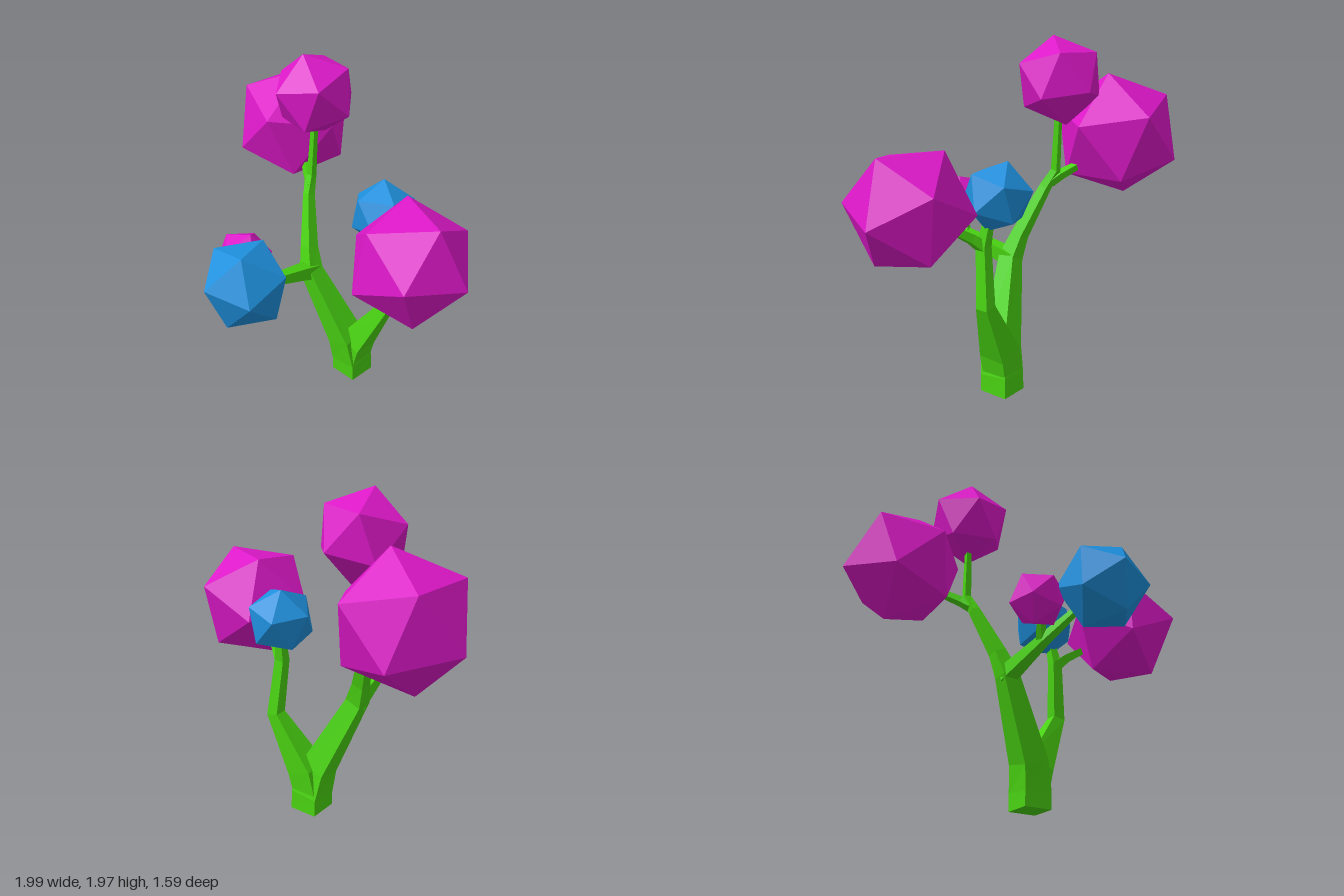
import * as THREE from 'three';

const V = (p) => new THREE.Vector3(p[0], p[1], p[2]);
const paint = (color) => new THREE.MeshStandardMaterial({ color, flatShading: true });
const green = paint(0x4ad412);
const magenta = paint(0xdd18c8);
const blue = paint(0x1e90dd);

// Tapered four-sided limb through nodes [x, y, z, halfWidth]
function limb(name, nodes) {
  const n = nodes.length;
  const pts = nodes.map(V);
  const overall = pts[n - 1].clone().sub(pts[0]).normalize();
  const ref = Math.abs(overall.z) > 0.8 ? new THREE.Vector3(1, 0, 0) : new THREE.Vector3(0, 0, 1);
  const dir = (i) => pts[i + 1].clone().sub(pts[i]).normalize();
  const pos = [];
  const idx = [];
  for (let i = 0; i < n; i++) {
    const t = new THREE.Vector3();
    if (i > 0) t.add(dir(i - 1));
    if (i < n - 1) t.add(dir(i));
    if (i === 0 && nodes[0][1] === 0) t.set(0, 1, 0); // level foot
    t.normalize();
    const u = ref.clone().addScaledVector(t, -ref.dot(t)).normalize();
    const v = t.clone().cross(u);
    for (const [a, b] of [[1, 1], [-1, 1], [-1, -1], [1, -1]]) {
      const p = pts[i].clone().addScaledVector(u, a * nodes[i][3]).addScaledVector(v, b * nodes[i][3]);
      pos.push(p.x, p.y, p.z);
    }
  }
  for (let i = 0; i < n - 1; i++) {
    for (let j = 0; j < 4; j++) {
      const a = i * 4 + j;
      const b = i * 4 + ((j + 1) % 4);
      idx.push(a, b, b + 4, a, b + 4, a + 4);
    }
  }
  const e = (n - 1) * 4;
  idx.push(0, 2, 1, 0, 3, 2, e, e + 1, e + 2, e, e + 2, e + 3);
  let geo = new THREE.BufferGeometry();
  geo.setAttribute('position', new THREE.Float32BufferAttribute(pos, 3));
  geo.setIndex(idx);
  geo = geo.toNonIndexed();
  geo.computeVertexNormals();
  const mesh = new THREE.Mesh(geo, green);
  mesh.name = name;
  return mesh;
}

// Icosahedron of foliage, turned so two neighbouring corners point along a and b
function foliage(name, material, center, radius, a, b) {
  const va = V(a).normalize();
  const vb = V(b).normalize();
  const x = va.clone().sub(vb).normalize();
  const y = va.clone().add(vb).normalize();
  const z = x.clone().cross(y);
  const mesh = new THREE.Mesh(new THREE.IcosahedronGeometry(radius, 0), material);
  mesh.quaternion.setFromRotationMatrix(new THREE.Matrix4().makeBasis(x, y, z));
  mesh.position.set(...center);
  mesh.name = name;
  return mesh;
}

export function createModel() {
  const tree = new THREE.Group();
  tree.name = 'tree';

  // Trunk and branches
  const branches = new THREE.Group();
  branches.name = 'branches';
  branches.add(
    limb('trunkAndRightBranch', [
      [0.115, 0, -0.242, 0.086], [0.113, 0.1, -0.238, 0.086], [0.085, 0.26, -0.21, 0.08],
      [-0.125, 0.71, -0.11, 0.05], [-0.17, 0.84, -0.14, 0.037], [-0.275, 1.12, -0.24, 0.025],
      [-0.302, 1.22, -0.29, 0.02], [-0.295, 1.54, -0.306, 0.015],
    ]),
    limb('leftBranch', [
      [0.11, 0.1, -0.24, 0.078], [0.145, 0.25, -0.245, 0.08], [0.328, 0.58, -0.292, 0.037],
      [0.3, 0.91, -0.255, 0.03], [0.285, 1.06, -0.28, 0.02],
    ]),
    limb('leftTwig', [[0.3, 0.9, -0.255, 0.03], [0.36, 0.955, -0.22, 0.024], [0.48, 1.03, -0.16, 0.018]]),
    limb('frontBranch', [
      [-0.125, 0.7, -0.12, 0.045], [-0.115, 0.73, -0.04, 0.04], [-0.09, 0.81, 0.22, 0.026],
      [-0.02, 0.92, 0.43, 0.016],
    ]),
    limb('frontTwig', [[-0.095, 0.81, 0.2, 0.022], [-0.16, 0.91, 0.29, 0.015]]),
    limb('rightTwig', [[-0.29, 1.15, -0.26, 0.024], [-0.335, 1.19, -0.3, 0.022], [-0.45, 1.25, -0.37, 0.018]]),
  );
  tree.add(branches);

  // Clumps of foliage
  tree.add(
    foliage('rightFoliage', magenta, [-0.643, 1.403, -0.474], 0.365, [-0.077, -0.355, -0.014], [-0.356, -0.073, -0.03]),
    foliage('topFoliage', magenta, [-0.297, 1.732, -0.308], 0.25, [-0.021, 0.238, 0.065], [-0.235, 0.08, 0.04]),
    foliage('leftFoliage', magenta, [0.655, 1.152, -0.062], 0.346, [0.193, 0.289, 0.03], [0.34, -0.04, -0.043]),
    foliage('smallFoliage', magenta, [-0.208, 0.966, 0.337], 0.161, [0.037, 0.156, -0.02], [0.147, 0.035, 0.048]),
    foliage('frontFoliage', blue, [0.058, 1.023, 0.554], 0.249, [0.0775, 0.225, 0.073], [-0.04, 0.042, 0.243]),
    foliage('backFoliage', blue, [0.252, 1.178, -0.307], 0.195, [-0.035, 0.187, -0.035], [-0.083, 0.035, -0.178]),
  );
  return tree;
}
